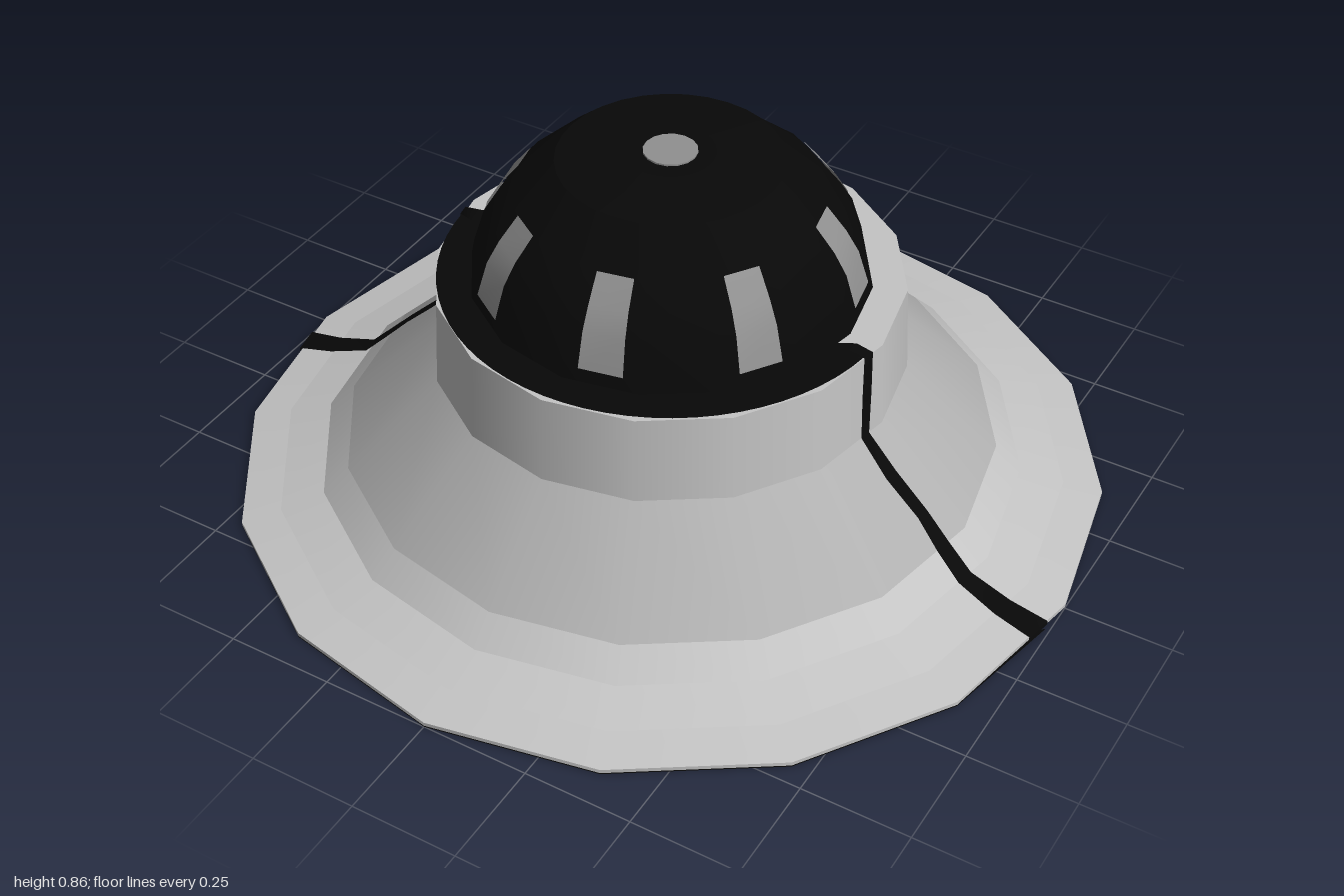
import * as THREE from 'three';
import { mergeGeometries } from 'three/addons/utils/BufferGeometryUtils.js';

const SIDES = 16;
const FACET = Math.PI / SIDES; // half the angle of one side

const mat = (name, color, side = THREE.FrontSide) => {
  const m = new THREE.MeshStandardMaterial({ color, side });
  m.name = name;
  return m;
};

// Lathe made of separate bands, so edges between bands stay sharp
function bands(profile, start = 0, length = Math.PI * 2, sides = SIDES) {
  const parts = [];
  for (let i = 0; i < profile.length - 1; i++) {
    const pts = [profile[i], profile[i + 1]].map(([r, y]) => new THREE.Vector2(r, y));
    parts.push(new THREE.LatheGeometry(pts, sides, start, length));
  }
  return mergeGeometries(parts);
}

// Strip of quads between two rows of points
function strip(left, right) {
  const pos = [], index = [];
  left.forEach((l, i) => {
    pos.push(...l, ...right[i]);
    if (i) {
      const a = 2 * i - 2;
      index.push(a, a + 1, a + 3, a, a + 3, a + 2);
    }
  });
  const g = new THREE.BufferGeometry();
  g.setAttribute('position', new THREE.Float32BufferAttribute(pos, 3));
  g.setIndex(index);
  g.computeVertexNormals();
  return g;
}

export function createModel() {
  const model = new THREE.Group();
  const shell = mat('light grey shell', 0xc4c4c4);
  const slope = mat('mid grey slope', 0xb0b0b0);
  const black = mat('black', 0x080808, THREE.DoubleSide);
  const pane = mat('window grey', 0x909090, THREE.DoubleSide);

  const add = (name, geometry, material, parent = model) => {
    const mesh = new THREE.Mesh(geometry, material);
    mesh.name = name;
    parent.add(mesh);
    return mesh;
  };

  // Flange, sloping skirt, collar and rim
  add('flange', bands([[1, 0.003], [1, 0.012], [0.91, 0.03], [0.81, 0.06], [0.75, 0.12]]), shell);
  add('skirt', bands([[0.75, 0.12], [0.535, 0.33]]), slope);
  add('collar', bands([[0.535, 0.33], [0.525, 0.54], [0.43, 0.54]]), shell);
  add('underside', bands([[0, 0.003], [1, 0.003]]), shell);

  // Black front part of the rim
  add('frontRim', bands([[0.517, 0.546], [0.43, 0.546]], -1.45, 2.9, 32), black);

  // Black crescent under the front edge
  const crescent = new THREE.Shape();
  crescent.moveTo(0.99, 0.08);
  for (let i = 1; i < 8; i++) {
    const a = i * FACET * 2;
    crescent.lineTo(Math.cos(a), Math.sin(a));
  }
  [[-0.99, 0.04], [-0.72, 0.26], [-0.44, 0.47], [-0.05, 0.5], [0.39, 0.5], [0.7, 0.36], [0.9, 0.16]]
    .forEach(([x, z]) => crescent.lineTo(x, z));
  add('undersideCrescent', new THREE.ShapeGeometry(crescent).rotateX(Math.PI / 2), black);

  // Dome
  const domeProfile = [[0.45, 0.53], [0.44, 0.58], [0.415, 0.66], [0.385, 0.71], [0.34, 0.765], [0.25, 0.84]];
  add('dome', new THREE.LatheGeometry(domeProfile.map(([r, y]) => new THREE.Vector2(r, y)), SIDES), black);
  add('domeCap', bands([[0.25, 0.84], [0.1, 0.857], [0, 0.857]], 0, Math.PI * 2, 32), black);
  add('topButton', new THREE.CylinderGeometry(0.06, 0.06, 0.008, 16).translate(0, 0.857, 0), pane);

  // Eight windows, one on every second side of the dome
  const windows = new THREE.Group();
  windows.name = 'windows';
  model.add(windows);
  const rows = domeProfile.slice(1, 5);
  const edge = (s) => rows.map(([r, y], i) => [s * (0.05 - i * 0.003), y, r * Math.cos(FACET) + 0.006]);
  const windowGeometry = strip(edge(-1), edge(1));
  for (let i = 0; i < 8; i++) {
    add('window', windowGeometry, pane, windows).rotation.y = FACET + i * Math.PI / 4;
  }

  // Jagged crack down each side: radius, height, z, half width
  const crack = [
    [1.0, 0.002, 0.105, 0.033], [1.0, 0.012, 0.105, 0.033], [0.91, 0.03, 0.1, 0.028],
    [0.81, 0.06, 0.088, 0.022], [0.75, 0.12, 0.083, 0.02], [0.69, 0.179, 0.073, 0.016],
    [0.61, 0.257, 0.074, 0.017], [0.535, 0.33, 0.063, 0.013], [0.53, 0.435, 0.058, 0.015],
    [0.525, 0.541, 0.053, 0.014], [0.48, 0.541, 0.055, 0.025], [0.43, 0.541, 0.09, 0.03],
  ];
  for (const s of [1, -1]) {
    const side = (d) => crack.map(([r, y, z, w]) => {
      const zz = z + d * w;
      return [s * (r - zz * Math.tan(FACET) + 0.004), y + 0.005, zz];
    });
    add(s > 0 ? 'leftCrack' : 'rightCrack', strip(side(s), side(-s)), black);
  }

  return model;
}
